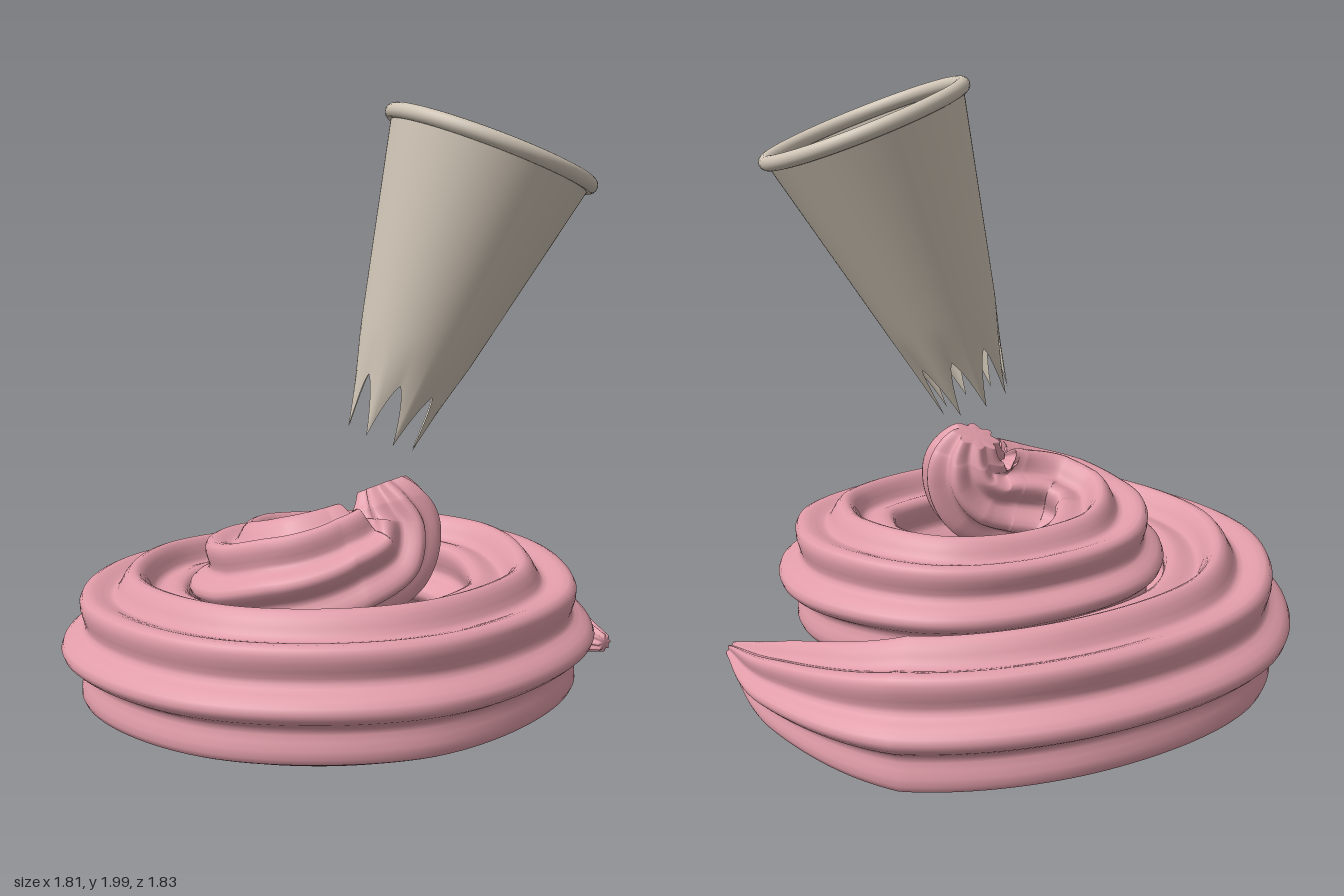
import * as THREE from 'three';

const pink = new THREE.MeshStandardMaterial({ color: 0xe09ca8 });
pink.name = 'pink frosting';
const metal = new THREE.MeshStandardMaterial({ color: 0xcfc4b5, side: THREE.DoubleSide });
metal.name = 'warm grey metal';

// Centre line of the piped frosting: x, y, z, radius
const PATH = [
  [0.87, 0.22, 0.10, 0.03], [0.75, 0.225, -0.25, 0.14], [0.47, 0.23, -0.57, 0.23],
  [0.04, 0.27, -0.69, 0.23], [-0.46, 0.30, -0.50, 0.23], [-0.68, 0.33, 0.01, 0.23],
  [-0.49, 0.355, 0.48, 0.23], [-0.04, 0.38, 0.68, 0.23], [0.38, 0.395, 0.47, 0.22],
  [0.48, 0.41, 0.2, 0.22], [0.46, 0.42, -0.02, 0.22], [0.28, 0.43, -0.25, 0.21],
  [0.05, 0.445, -0.295, 0.2], [-0.2, 0.47, -0.22, 0.2], [-0.31, 0.505, 0.02, 0.2],
  [-0.23, 0.555, 0.19, 0.2], [-0.07, 0.605, 0.235, 0.19], [0.03, 0.65, 0.225, 0.18],
  [0.07, 0.72, 0.21, 0.155], [0.065, 0.78, 0.195, 0.125], [0.05, 0.835, 0.175, 0.08],
];

// Grid of (rows + 1) x cols vertices, closed around the columns
function ringIndices(rows, cols) {
  const index = [];
  for (let i = 0; i < rows; i++) {
    for (let j = 0; j < cols; j++) {
      const k = (j + 1) % cols;
      const a = i * cols + j, b = i * cols + k, c = a + cols, d = b + cols;
      index.push(a, c, b, b, c, d);
    }
  }
  return index;
}

function makeGeometry(positions, index) {
  const geo = new THREE.BufferGeometry();
  geo.setAttribute('position', new THREE.Float32BufferAttribute(positions, 3));
  geo.setIndex(index);
  geo.computeVertexNormals();
  return geo;
}

// Eight-ridged star section swept along the spiral
function frostingGeometry() {
  const rows = 320, cols = 80, ridges = 8;
  const curve = new THREE.CatmullRomCurve3(PATH.map(p => new THREE.Vector3(p[0], p[1], p[2])));
  const up = new THREE.Vector3(0, 1, 0), side = new THREE.Vector3();
  const positions = [];
  for (let i = 0; i <= rows; i++) {
    const u = i / rows;
    const c = curve.getPoint(u), t = curve.getTangent(u);
    if (Math.abs(t.y) < 0.5) side.crossVectors(t, up).normalize();
    else side.addScaledVector(t, -side.dot(t)).normalize();
    const rise = new THREE.Vector3().crossVectors(side, t);
    const s = u * (PATH.length - 1), k = Math.min(Math.floor(s), PATH.length - 2);
    const radius = THREE.MathUtils.lerp(PATH[k][3], PATH[k + 1][3], s - k);
    const twist = 1.2 * Math.max(0, (u - 0.72) / 0.28);
    for (let j = 0; j < cols; j++) {
      const a = j / cols * Math.PI * 2;
      const r = radius * (0.87 + 0.13 * Math.cos(ridges * a));
      const p = c.clone()
        .addScaledVector(side, r * Math.cos(a + twist))
        .addScaledVector(rise, r * Math.sin(a + twist));
      positions.push(p.x, p.y, p.z);
    }
  }
  const index = ringIndices(rows, cols);
  // End caps
  const first = positions.length / 3, last = rows * cols;
  positions.push(...curve.getPoint(0).toArray(), ...curve.getPoint(1).toArray());
  for (let j = 0; j < cols; j++) {
    const k = (j + 1) % cols;
    index.push(first, j, k, first + 1, last + k, last + j);
  }
  return makeGeometry(positions, index);
}

// Cone whose lower edge is cut into pointed teeth, pinched in at the notches
function nozzleGeometry(height, topRadius, tipRadius, teeth) {
  const rows = 24, cols = teeth * 12, positions = [];
  for (let i = 0; i <= rows; i++) {
    for (let j = 0; j < cols; j++) {
      const a = j / cols * Math.PI * 2;
      const t = Math.abs(((j / 12) % 1) * 2 - 1); // 0 in a notch, 1 at a tooth point
      const edge = 0.18 * (1 - Math.pow(t, 1.3));
      const y = THREE.MathUtils.lerp(edge, height, Math.pow(i / rows, 1.5));
      const pinch = 0.025 * Math.pow(Math.max(0, 1 - y / 0.3), 1.2) * (1 - t);
      const r = THREE.MathUtils.lerp(tipRadius, topRadius, y / height) - pinch;
      positions.push(r * Math.cos(a), y, -r * Math.sin(a));
    }
  }
  // Columns run anticlockwise seen from above, so reverse for outward faces
  const index = ringIndices(rows, cols);
  for (let i = 0; i < index.length; i += 3) [index[i + 1], index[i + 2]] = [index[i + 2], index[i + 1]];
  return makeGeometry(positions, index);
}

export function createModel() {
  const model = new THREE.Group();
  model.name = 'pipedFrosting';

  const frosting = new THREE.Mesh(frostingGeometry(), pink);
  frosting.name = 'frostingSwirl';
  model.add(frosting);

  // Tilted piping nozzle with a rolled rim
  const nozzle = new THREE.Group();
  nozzle.name = 'pipingNozzle';
  const tip = new THREE.Vector3(0.07, 0.965, 0.11);
  const mouth = new THREE.Vector3(0.415, 1.855, 0.145);
  const axis = mouth.clone().sub(tip);
  const height = axis.length();

  const cone = new THREE.Mesh(nozzleGeometry(height, 0.325, 0.113, 8), metal);
  cone.name = 'nozzleCone';
  const rim = new THREE.Mesh(new THREE.TorusGeometry(0.32, 0.024, 16, 80), metal);
  rim.name = 'nozzleRim';
  rim.rotation.x = Math.PI / 2;
  rim.position.y = height - 0.01;
  nozzle.add(cone, rim);
  nozzle.position.copy(tip);
  nozzle.quaternion.setFromUnitVectors(new THREE.Vector3(0, 1, 0), axis.normalize());
  model.add(nozzle);

  return model;
}
